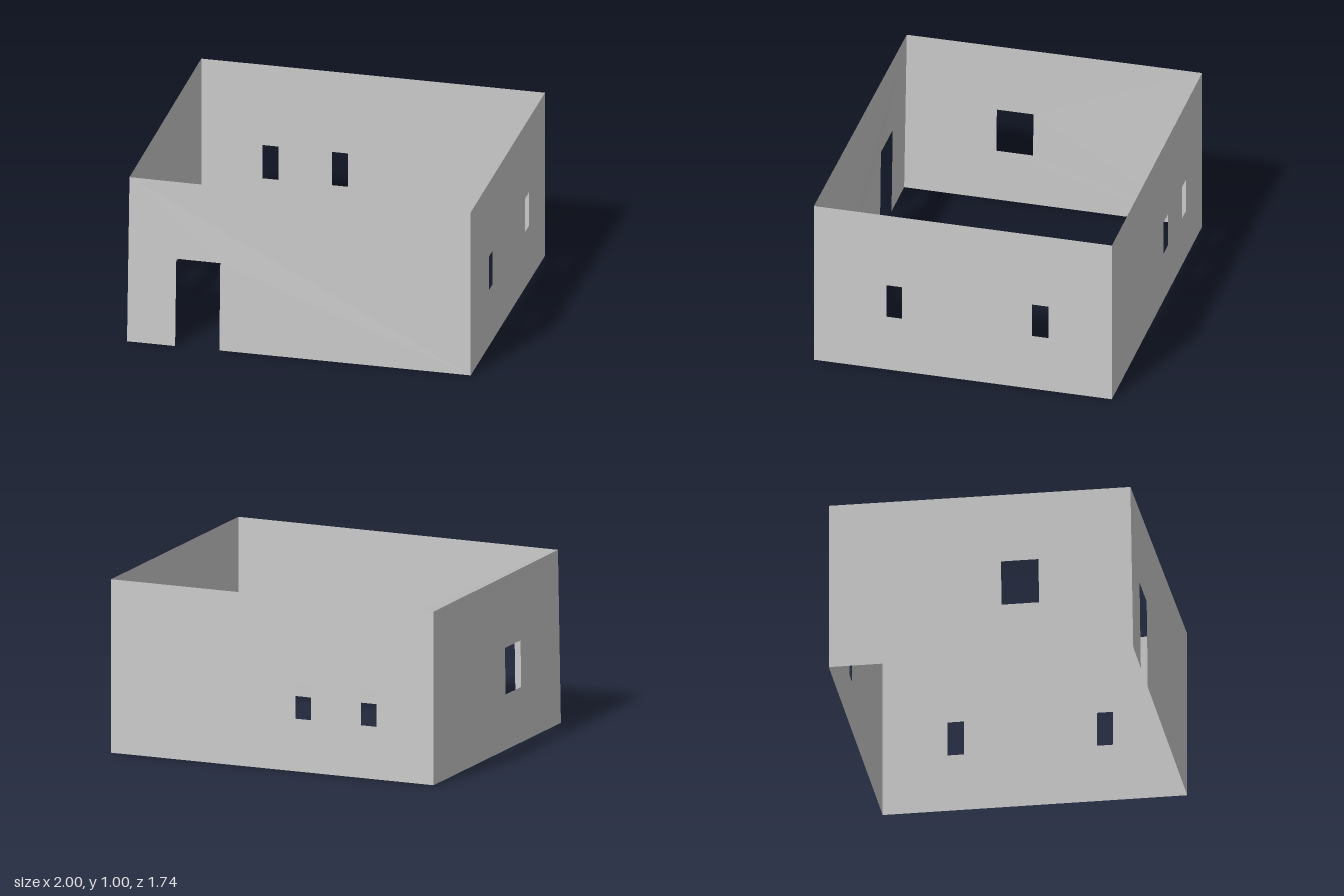
import * as THREE from 'three';

const W = 1, D = 0.87, H = 1.005; // half width, half depth, height

// The front corner at -x leans slightly inward towards its top.
function lean(p) {
  const w = (p.y / H) * ((W - p.x) / (2 * W)) * ((p.z + D) / (2 * D));
  p.x += 0.01 * w;
  p.z -= 0.018 * w;
  return p;
}

function outline(PathType, points) {
  const path = new PathType();
  path.setFromPoints(points.map(([x, y]) => new THREE.Vector2(x, y)));
  path.closePath();
  return path;
}

// A thin wall running from corner a to corner b (left to right from outside).
// Openings are [start, end, bottom, top], measured along the wall from a.
function makeWall(name, a, b, material, windows, door) {
  const start = new THREE.Vector3(a[0], 0, a[1]);
  const along = new THREE.Vector3(b[0], 0, b[1]).sub(start);
  const length = along.length();
  along.normalize();

  const notch = door
    ? [[door[0], 0], [door[0], door[3]], [door[1], door[3]], [door[1], 0]]
    : [];
  const shape = outline(THREE.Shape, [[0, 0], ...notch, [length, 0], [length, H], [0, H]]);
  for (const [s0, s1, y0, y1] of windows) {
    shape.holes.push(outline(THREE.Path, [[s0, y0], [s0, y1], [s1, y1], [s1, y0]]));
  }

  const geometry = new THREE.ShapeGeometry(shape);
  const pos = geometry.attributes.position;
  const p = new THREE.Vector3();
  for (let i = 0; i < pos.count; i++) {
    const s = pos.getX(i), y = pos.getY(i);
    p.copy(start).addScaledVector(along, s);
    p.y = y;
    lean(p);
    pos.setXYZ(i, p.x, p.y, p.z);
  }
  geometry.computeVertexNormals();
  const mesh = new THREE.Mesh(geometry, material);
  mesh.name = name;
  return mesh;
}

export function createModel() {
  const group = new THREE.Group();
  group.name = 'roofless house walls';
  const material = new THREE.MeshStandardMaterial({
    color: 0xcccccc, side: THREE.DoubleSide, flatShading: true,
  });

  group.add(
    // front wall with the doorway
    makeWall('frontWall', [-W, D], [W, D], material, [], [0.28, 0.537, 0, 0.535]),
    // side wall with two narrow windows
    makeWall('leftWall', [W, D], [W, -D], material,
      [[0.425, 0.515, 0.345, 0.55], [1.275, 1.37, 0.345, 0.55]]),
    // back wall with two narrow windows
    makeWall('backWall', [W, -D], [-W, -D], material,
      [[1.145, 1.24, 0.305, 0.51], [1.55, 1.645, 0.305, 0.51]]),
    // side wall with one wide window
    makeWall('rightWall', [-W, -D], [-W, D], material, [[0.99, 1.205, 0.32, 0.59]]),
  );
  return group;
}
